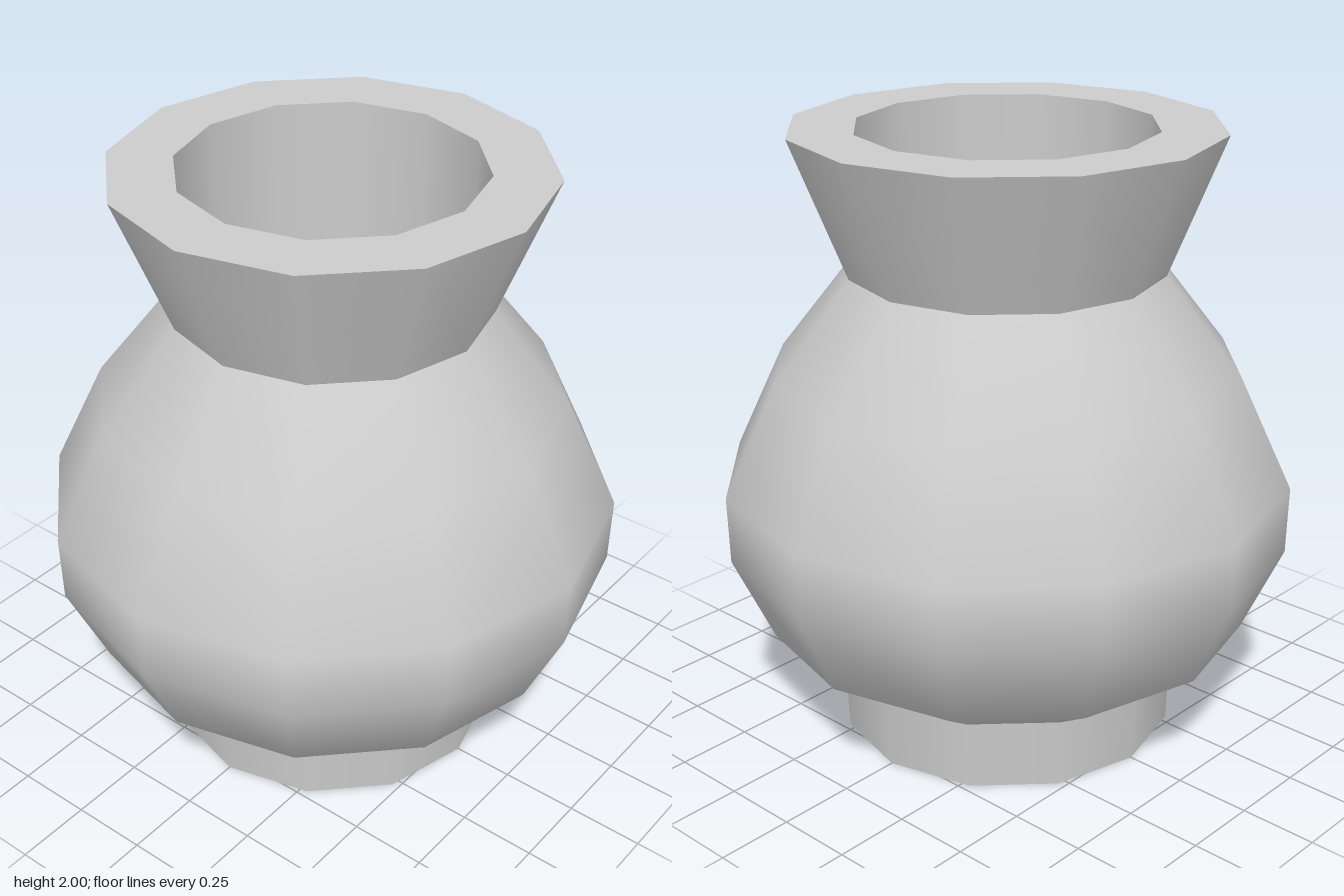
import * as THREE from 'three';

const SIDES = 12;

export function createModel() {
  const model = new THREE.Group();
  model.name = 'vase';
  const clay = new THREE.MeshStandardMaterial({ color: 0xcccccc });
  const dark = new THREE.MeshStandardMaterial({ color: 0x0a0a0a });

  // One smooth lathed band; separate bands keep the edges between them sharp.
  function band(name, profile, material = clay) {
    const points = profile.map(([r, y]) => new THREE.Vector2(r, y));
    const mesh = new THREE.Mesh(new THREE.LatheGeometry(points, SIDES), material);
    mesh.name = name;
    model.add(mesh);
  }

  // Foot
  band('footUnderside', [[0, 0], [0.55, 0]]);
  band('foot', [[0.55, 0], [0.56, 0.23]]);

  // Rounded belly
  band('belly', [
    [0.56, 0.23], [0.785, 0.375], [0.915, 0.66],
    [0.92, 0.88], [0.75, 1.24], [0.505, 1.555],
  ]);

  // Flared neck, flat rim and straight bore
  band('neck', [[0.505, 1.555], [0.68, 2]]);
  band('rim', [[0.68, 2], [0.475, 2]]);
  band('innerWall', [[0.475, 2], [0.475, 1.52]]);

  // Dark surface closing the bore
  band('darkInterior', [[0.475, 1.52], [0, 1.52]], dark);

  return model;
}
